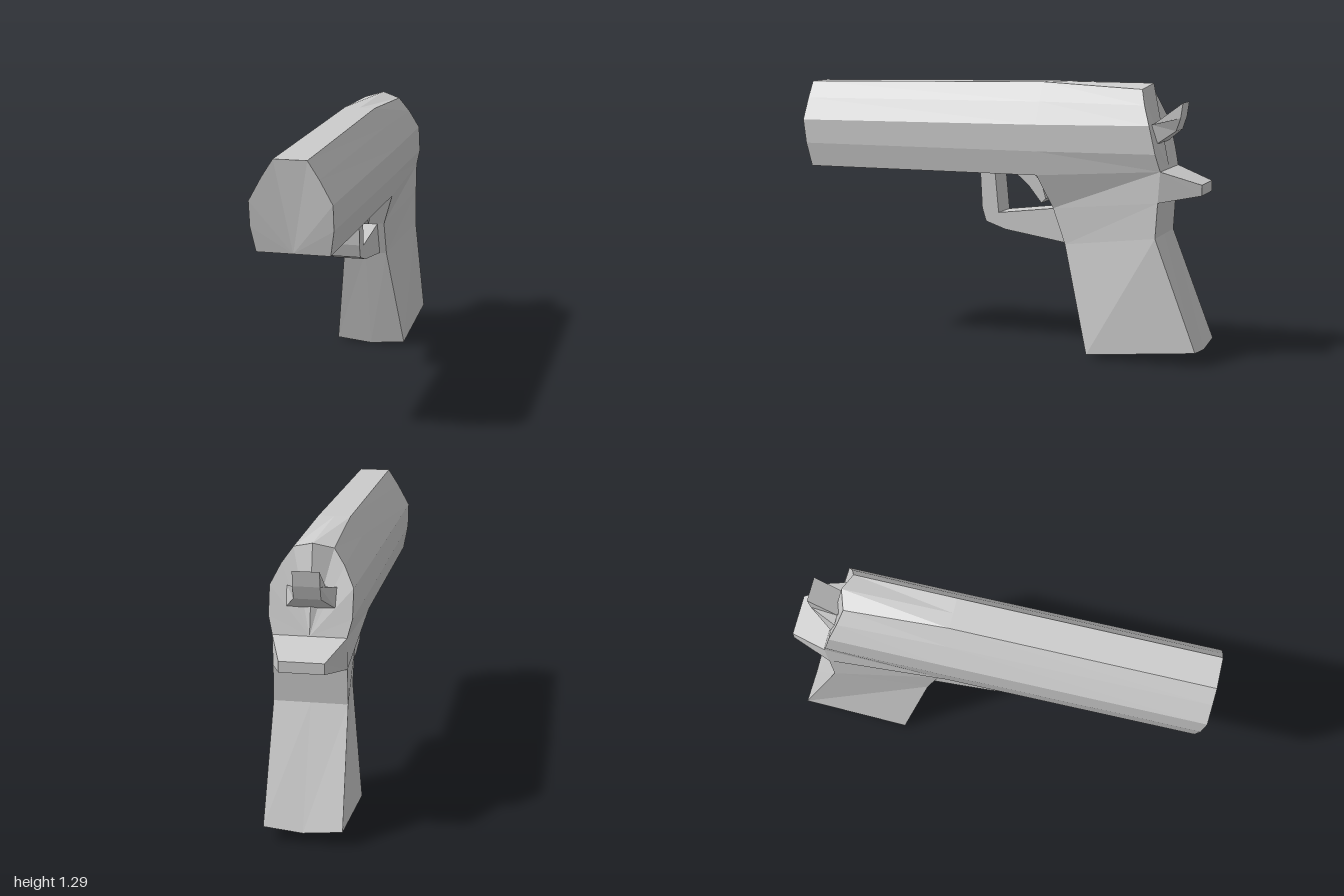
import * as THREE from 'three';

const material = new THREE.MeshStandardMaterial({ color: 0xcccccc, flatShading: true, side: THREE.DoubleSide });

// Skin mirrored half-sections ([x, y, z] with x >= 0) and close both ends.
function loft(name, halves) {
  const rings = halves.map((half) => [
    ...half,
    ...half.filter((p) => p[0] > 0).reverse().map(([x, y, z]) => [-x, y, z]),
  ]);
  const n = rings[0].length, pos = [];
  const tri = (a, b, c) => pos.push(...a, ...b, ...c);
  for (let s = 0; s < rings.length - 1; s++) {
    for (let i = 0; i < n; i++) {
      const j = (i + 1) % n, r = rings[s], q = rings[s + 1];
      tri(r[i], q[i], r[j]);
      tri(r[j], q[i], q[j]);
    }
  }
  const first = rings[0], last = rings[rings.length - 1];
  for (let i = 1; i < n - 1; i++) {
    tri(first[0], first[i], first[i + 1]);
    tri(last[0], last[i + 1], last[i]);
  }
  const geometry = new THREE.BufferGeometry();
  geometry.setAttribute('position', new THREE.Float32BufferAttribute(pos, 3));
  geometry.computeVertexNormals();
  return named(name, geometry);
}

// Extrude a [z, y] side profile across x.
function plate(name, profile, halfWidth) {
  const shape = new THREE.Shape(profile.map(([z, y]) => new THREE.Vector2(-z, y)));
  const geometry = new THREE.ExtrudeGeometry(shape, { depth: halfWidth * 2, bevelEnabled: false });
  geometry.translate(0, 0, -halfWidth).rotateY(Math.PI / 2);
  return named(name, geometry);
}

function named(name, geometry) {
  const mesh = new THREE.Mesh(geometry, material);
  mesh.name = name;
  return mesh;
}

export function createModel() {
  const model = new THREE.Group();
  model.name = 'pistol';

  // Slide: muzzle, crest and slanted rear sections, bottom centre to top centre
  model.add(loft('slide', [
    [[0, 0.86, 0.965], [0.165, 0.86, 0.965], [0.185, 0.975, 0.985], [0.185, 1.09, 1],
      [0.127, 1.195, 1], [0.075, 1.275, 1], [0, 1.275, 1]],
    [[0, 0.86, -0.22], [0.165, 0.86, -0.22], [0.185, 0.975, -0.22], [0.185, 1.1, -0.22],
      [0.13, 1.205, -0.22], [0.075, 1.295, -0.22], [0, 1.295, -0.22]],
    [[0, 0.9, -0.82], [0.165, 0.9, -0.82], [0.185, 0.98, -0.8], [0.185, 1.11, -0.77],
      [0.14, 1.2, -0.735], [0.09, 1.27, -0.71], [0, 1.295, -0.74]],
  ]));

  // Grip rows: [front width, front y, front z, back width, back y, back z, centre drop]
  const gripRows = [
    [0.165, 0.86, -0.22, 0.165, 0.9, -0.82, 0],
    [0.11, 0.7, -0.285, 0.165, 0.755, -0.81, 0],
    [0.11, 0.53, -0.345, 0.167, 0.59, -0.8, 0],
    [0.177, 0.02, -0.475, 0.177, 0.07, -1, 0.018],
  ];
  model.add(loft('grip', gripRows.map(([fw, fy, fz, bw, by, bz, drop]) => [
    [0, fy - drop, fz], [fw, fy, fz], [bw, by, bz], [0, by - drop, bz],
  ])));

  // Tang overhanging the back of the grip
  model.add(loft('gripTang', [
    [[0.165, 0.755, -0.81], [0.165, 0.9, -0.82]],
    [[0.1, 0.79, -1], [0.1, 0.84, -1]],
  ]));

  // Hammer: flared base and upswept spur
  const hammer = new THREE.Group();
  hammer.name = 'hammer';
  hammer.add(loft('hammerBase', [
    [[0.11, 1.02, -0.785], [0.11, 1.11, -0.762]],
    [[0.06, 1.08, -0.865], [0.06, 1.14, -0.885]],
  ]));
  hammer.add(plate('hammerSpur', [[-0.76, 1.11], [-0.865, 1.08], [-0.885, 1.14], [-0.895, 1.21]], 0.06));
  model.add(hammer);

  // Trigger guard and trigger
  model.add(plate('triggerGuard', [
    [0.1, 0.87], [0.09, 0.68], [0.07, 0.615], [-0.03, 0.58], [-0.36, 0.528],
    [-0.3, 0.697], [0.005, 0.66], [0.025, 0.87],
  ], 0.075));
  model.add(plate('trigger', [
    [-0.06, 0.865], [-0.14, 0.795], [-0.205, 0.713], [-0.227, 0.735], [-0.205, 0.81], [-0.16, 0.865],
  ], 0.05));

  return model;
}
